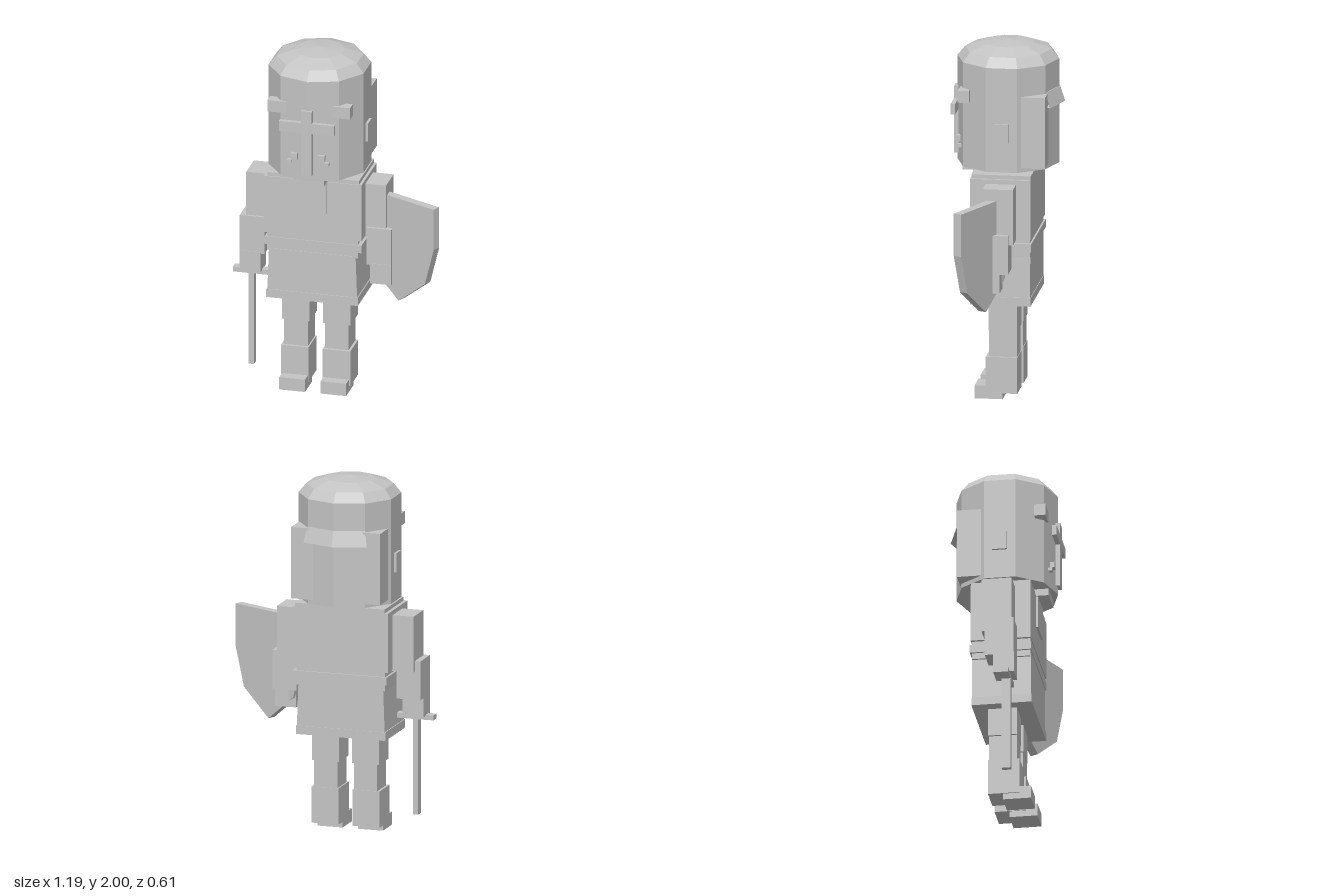
import * as THREE from 'three';

export function createModel() {
  const root = new THREE.Group();
  root.name = 'knight';
  const C = -0.125; // centre line of the body
  const grey = new THREE.MeshStandardMaterial({ color: 0xc4c4c4, flatShading: true, side: THREE.DoubleSide });
  grey.name = 'plain grey';

  function add(name, geometry) {
    const mesh = new THREE.Mesh(geometry, grey);
    mesh.name = name;
    root.add(mesh);
    return mesh;
  }
  // Box from its limits, with x measured from the centre line
  function box(name, x0, x1, y0, y1, z0, z1) {
    const mesh = add(name, new THREE.BoxGeometry(x1 - x0, y1 - y0, z1 - z0));
    mesh.position.set(C + (x0 + x1) / 2, (y0 + y1) / 2, (z0 + z1) / 2);
    return mesh;
  }
  function pair(name, x0, x1, y0, y1, z0, z1) {
    box(name + 'Left', x0, x1, y0, y1, z0, z1);
    box(name + 'Right', -x1, -x0, y0, y1, z0, z1);
  }
  const points = (list) => list.map(([x, y]) => new THREE.Vector2(x, y));

  // Ten-sided helmet with a shallow dome
  const helmet = add('helmet', new THREE.LatheGeometry(points(
    [[0, 1.31], [0.283, 1.31], [0.283, 1.9], [0.24, 1.952], [0.14, 1.986], [0, 2]]), 10));
  helmet.position.set(C, 0, 0.007);

  // Flared brim at the back of the helmet
  const brim = add('backBrim', new THREE.LatheGeometry(points(
    [[0.27, 1.67], [0.313, 1.66], [0.285, 1.745], [0.27, 1.745]]), 2, Math.PI * 0.8, Math.PI * 0.4));
  brim.position.set(C, 0, 0.005);

  // Head details
  box('neckGuard', -0.257, 0.26, 1.335, 1.738, -0.233, -0.1);
  box('earPlates', -0.283, 0.283, 1.478, 1.585, -0.035, 0.047);
  box('noseGuard', -0.03, 0.03, 1.35, 1.73, 0.27, 0.305);
  box('browBar', -0.157, 0.157, 1.6, 1.66, 0.28, 0.305);
  pair('browBlock', 0.13, 0.235, 1.688, 1.755, 0.193, 0.255);
  pair('moustache', 0.058, 0.096, 1.432, 1.465, 0.24, 0.285);
  pair('moustacheTip', 0.093, 0.118, 1.403, 1.422, 0.24, 0.275);
  box('chin', -0.085, 0.085, 1.27, 1.312, 0.1, 0.25);
  const neck = add('neck', new THREE.CylinderGeometry(0.12, 0.12, 0.06, 10));
  neck.position.set(C, 1.29, 0.01);

  // Torso, belt and skirt
  box('collar', -0.255, 0.265, 1.26, 1.292, -0.155, 0.175);
  box('chest', -0.275, 0.28, 0.935, 1.27, -0.155, 0.18);
  box('chestPlate', -0.085, 0.085, 1.08, 1.265, 0.17, 0.192);
  box('waist', -0.258, 0.258, 0.83, 0.94, -0.15, 0.175);
  box('belt', -0.27, 0.28, 0.865, 0.91, -0.16, 0.18);
  const skirt = box('skirt', -0.255, 0.255, 0.59, 0.84, -0.15, 0.178);
  const p = skirt.geometry.attributes.position;
  for (let i = 0; i < p.count; i++) if (p.getY(i) > 0) p.setX(i, p.getX(i) * 0.965);
  box('hem', -0.26, 0.26, 0.55, 0.598, -0.153, 0.183);

  // Arms
  pair('upperArm', 0.265, 0.397, 0.93, 1.245, -0.075, 0.092);
  pair('forearm', 0.29, 0.43, 0.77, 0.99, -0.052, 0.107);
  pair('hand', 0.31, 0.43, 0.662, 0.78, -0.005, 0.11);

  // Legs and feet
  pair('thigh', 0.037, 0.195, 0.39, 0.57, -0.07, 0.09);
  pair('knee', 0.048, 0.183, 0.23, 0.395, -0.067, 0.088);
  pair('boot', 0.04, 0.197, 0.035, 0.24, -0.07, 0.105);
  pair('foot', 0.044, 0.19, 0, 0.073, 0.012, 0.168);

  // Sword held point down
  box('swordGuard', -0.475, -0.262, 0.64, 0.668, 0.035, 0.085);
  box('swordBlade', -0.385, -0.355, 0.1, 0.645, 0.035, 0.085);

  // Pointed shield turned outward on the left arm
  const shield = add('shield', new THREE.ExtrudeGeometry(new THREE.Shape(points(
    [[-0.25, 1.18], [-0.25, 0.94], [-0.187, 0.72], [0, 0.572], [0.187, 0.72], [0.25, 0.94], [0.25, 1.18]])),
  { depth: 0.048, bevelEnabled: false }));
  shield.position.set(0.366, 0, 0.06);
  shield.rotation.y = -0.436;

  return root;
}
